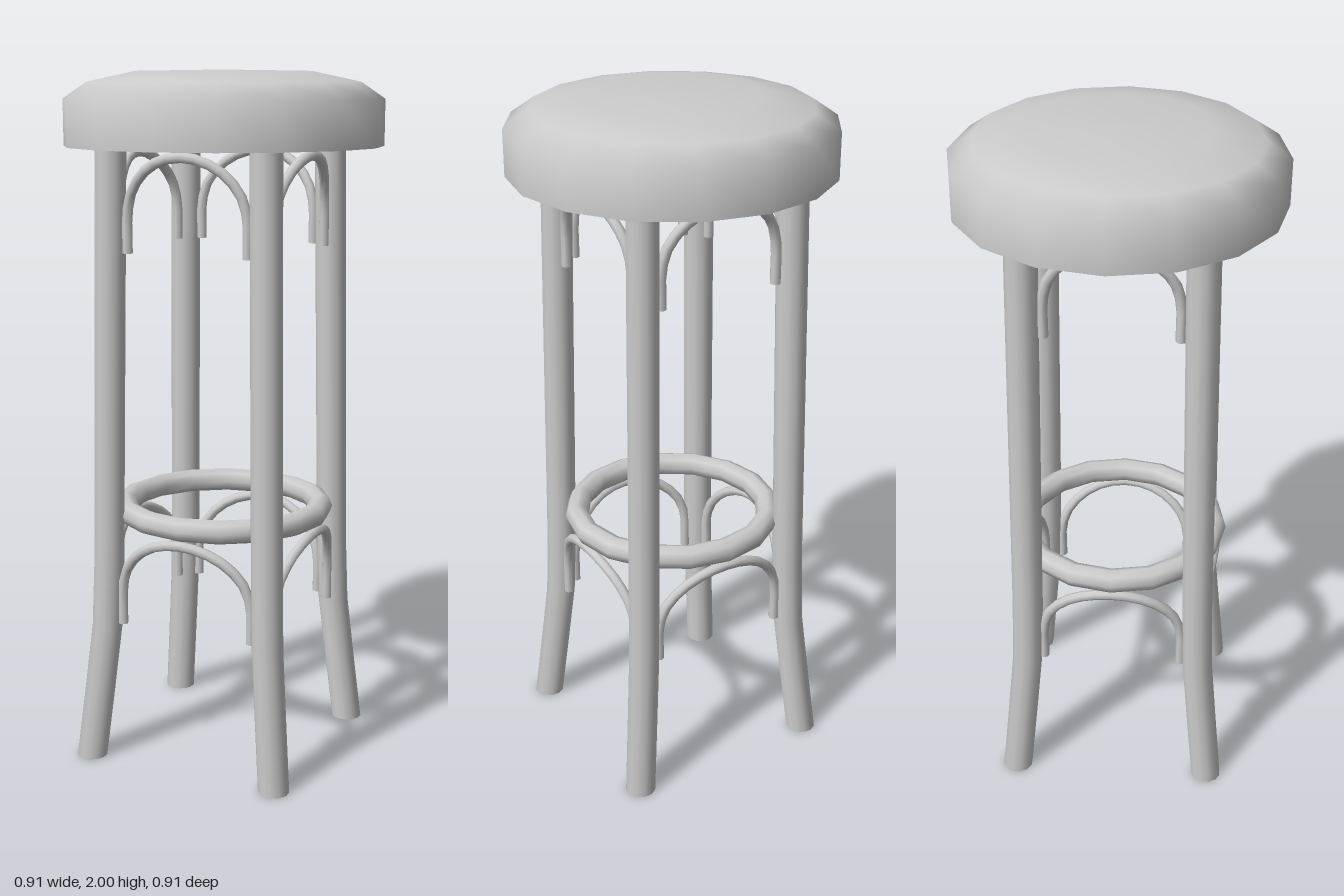
import * as THREE from 'three';

const material = new THREE.MeshStandardMaterial({ color: 0xcccccc });

function part(name, geometry, parent) {
  const mesh = new THREE.Mesh(geometry, material);
  mesh.name = name;
  parent.add(mesh);
  return mesh;
}

// Distance of the leg's centre from the stool's axis, by height
const legLine = [[0, 0.417], [0.2, 0.39], [0.4, 0.364], [0.6, 0.355], [1.8, 0.331]];

function legReach(y) {
  for (let i = 1; i < legLine.length; i++) {
    const [y0, r0] = legLine[i - 1], [y1, r1] = legLine[i];
    if (y <= y1 + 1e-6) return r0 + (r1 - r0) * (y - y0) / (y1 - y0);
  }
  return legLine[legLine.length - 1][1];
}

// Round post, bent so that its foot splays outwards along +x
function legGeometry() {
  const height = 1.8;
  const geometry = new THREE.CylinderGeometry(0.045, 0.045, height, 12, 18);
  geometry.translate(0, height / 2, 0);
  const pos = geometry.attributes.position;
  for (let i = 0; i < pos.count; i++) {
    pos.setX(i, pos.getX(i) + legReach(pos.getY(i)));
  }
  return geometry;
}

// Bentwood arch between two legs, bowed slightly outwards along +z
function addArch(name, parent, { footY, springY, topY, halfWidth, z, bow }) {
  const radius = 0.015;
  const point = (x, y) =>
    new THREE.Vector3(x, y, z + bow * (1 - (x / halfWidth) ** 2));
  const points = [point(-halfWidth, footY), point(-halfWidth, (footY + springY) / 2)];
  const steps = 8;
  for (let i = 0; i <= steps; i++) {
    const a = Math.PI * (1 - i / steps);
    points.push(point(halfWidth * Math.cos(a), springY + (topY - springY) * Math.sin(a)));
  }
  points.push(point(halfWidth, (footY + springY) / 2), point(halfWidth, footY));

  const arch = new THREE.Group();
  arch.name = name;
  const curve = new THREE.CatmullRomCurve3(points);
  part('archRod', new THREE.TubeGeometry(curve, 18, radius, 8), arch);
  for (const side of [-1, 1]) {
    const cap = new THREE.CircleGeometry(radius, 8).rotateX(Math.PI / 2);
    part('archEnd', cap, arch).position.set(side * halfWidth, footY, z);
  }
  parent.add(arch);
  return arch;
}

export function createModel() {
  const stool = new THREE.Group();
  stool.name = 'barStool';

  // Padded seat with a domed top and flat underside
  const seat = new THREE.Group();
  seat.name = 'seat';
  stool.add(seat);
  const profile = [[0.455, 1.79], [0.455, 1.92], [0.388, 1.966], [0.25, 1.996], [0, 2]]
    .map(([x, y]) => new THREE.Vector2(x, y));
  part('cushion', new THREE.LatheGeometry(profile, 16), seat);
  part('seatUnderside', new THREE.CircleGeometry(0.455, 16).rotateX(Math.PI / 2), seat)
    .position.y = 1.79;

  // Footrest ring inside the legs
  part('footRing', new THREE.TorusGeometry(0.29, 0.035, 8, 16).rotateX(Math.PI / 2), stool)
    .position.y = 0.735;

  // Four legs on the diagonals, with an upper and lower arch on each side
  const leg = legGeometry();
  for (let i = 0; i < 4; i++) {
    const turn = i * Math.PI / 2;
    part('leg', leg, stool).rotation.y = turn + Math.PI / 4;
    addArch('upperArch', stool, {
      footY: 1.5, springY: 1.595, topY: 1.769, halfWidth: 0.183, z: 0.238, bow: 0.034,
    }).rotation.y = turn;
    addArch('lowerArch', stool, {
      footY: 0.415, springY: 0.51, topY: 0.687, halfWidth: 0.205, z: 0.255, bow: 0.04,
    }).rotation.y = turn;
  }
  return stool;
}
